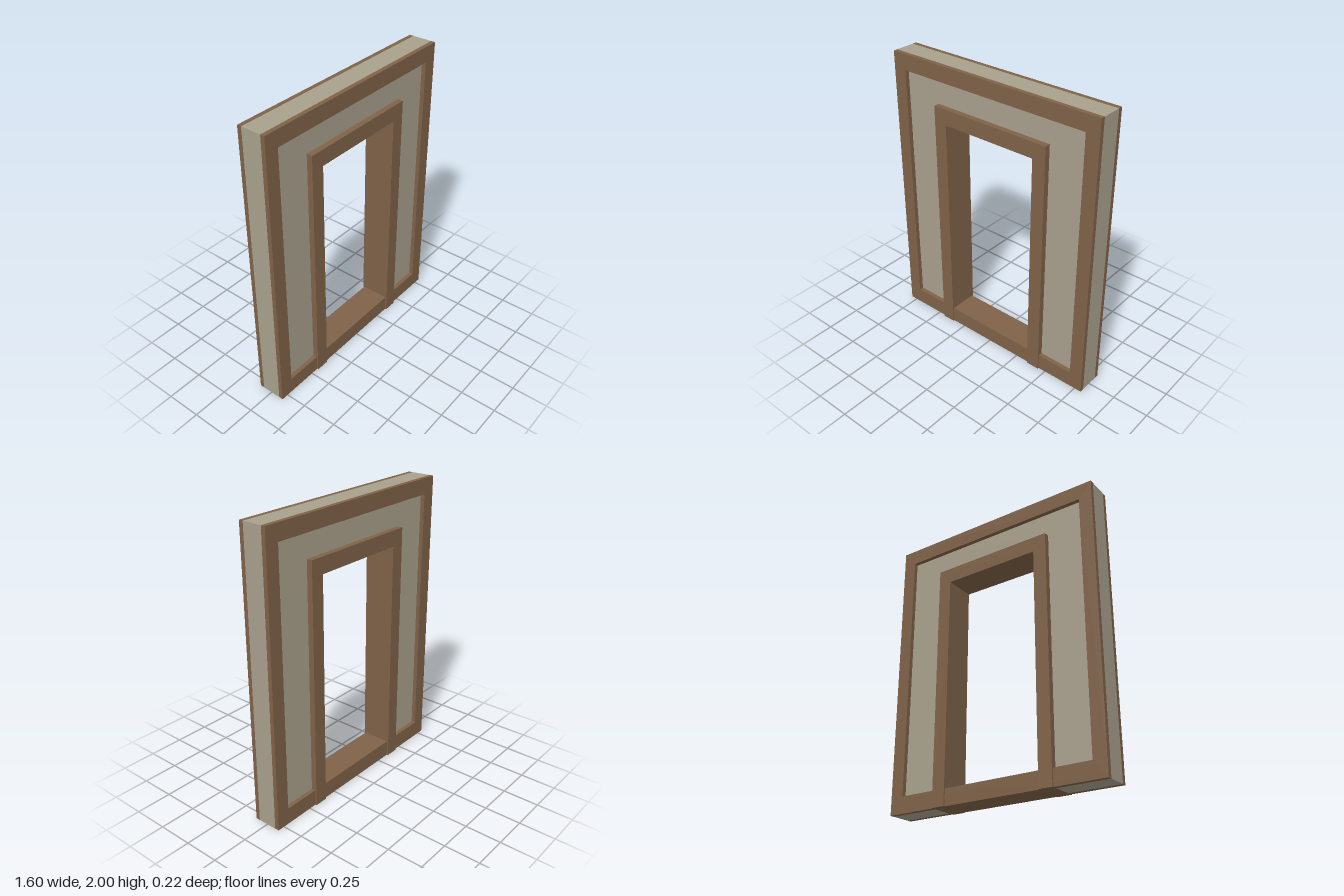
import * as THREE from 'three';

const W = 0.8, H = 2;              // outer half width and height
const CORE = 0.07;                 // half depth of the plaster wall
const TRIM = 0.1;                  // half depth of the outer trim
const CASING = 0.11;               // half depth of the door casing
const DOOR_IN = 0.35, DOOR_OUT = 0.445;
const DOOR_TOP = 1.61, CASING_TOP = 1.72;
const SILL = 0.115;

const corners = (pts) => pts.map(([x, y]) => new THREE.Vector2(x, y));
const rect = (x, y0, y1) => corners([[-x, y0], [x, y0], [x, y1], [-x, y1]]);

// Upside-down U: outer rectangle with a doorway open at the floor
const arch = (xo, yo, xi, yi) => new THREE.Shape(corners([
  [-xo, 0], [-xi, 0], [-xi, yi], [xi, yi], [xi, 0], [xo, 0], [xo, yo], [-xo, yo],
]));

export function createModel() {
  const group = new THREE.Group();
  const wood = new THREE.MeshStandardMaterial({ color: 0x7f6248 });
  wood.name = 'brown wood';
  const plaster = new THREE.MeshStandardMaterial({ color: 0xa8a08c });
  plaster.name = 'beige plaster';

  const addSlab = (name, shape, z0, z1, material) => {
    const geometry = new THREE.ExtrudeGeometry(shape, { depth: z1 - z0, bevelEnabled: false });
    geometry.translate(0, 0, z0);
    const mesh = new THREE.Mesh(geometry, material);
    mesh.name = name;
    group.add(mesh);
  };

  // Plaster wall around the doorway
  addSlab('wall', arch(W, H, DOOR_OUT, CASING_TOP), -CORE, CORE, plaster);

  // Rectangular timber trim on both faces of the wall
  const trim = new THREE.Shape(rect(W, 0, H));
  trim.holes.push(new THREE.Path(rect(0.705, SILL, 1.89)));
  addSlab('frontTrim', trim, CORE, TRIM, wood);
  addSlab('backTrim', trim, -TRIM, -CORE, wood);

  // Door casing passing through the wall and standing proud of the trim
  addSlab('doorCasing', arch(DOOR_OUT, CASING_TOP, DOOR_IN, DOOR_TOP), -CASING, CASING, wood);

  // Threshold filling the gap between the trim rails
  addSlab('threshold', new THREE.Shape(rect(DOOR_IN, 0, SILL)), -CORE, CORE, wood);

  return group;
}
